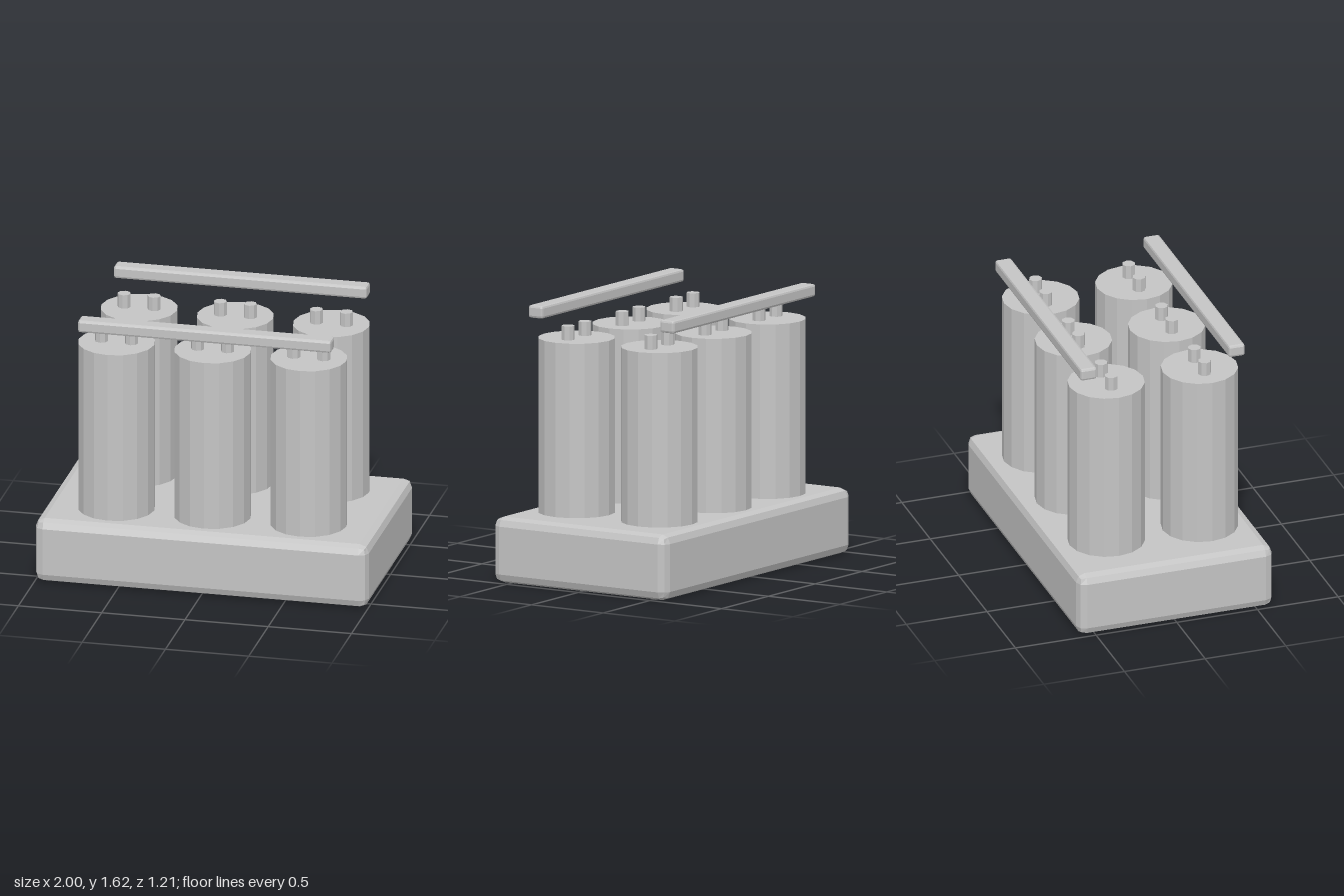
import * as THREE from 'three';

// Box with a two-step bevel of radius r along all edges and corners
function bevelBox(w, h, d, r) {
  const geo = new THREE.BoxGeometry(1, 1, 1, 3, 3, 3);
  const pos = geo.attributes.position;
  const half = new THREE.Vector3(w / 2 - r, h / 2 - r, d / 2 - r);
  const p = new THREE.Vector3();
  const step = (v) => (Math.abs(v) > 0.4 ? Math.sign(v) : 0);
  for (let i = 0; i < pos.count; i++) {
    p.fromBufferAttribute(pos, i);
    const core = new THREE.Vector3(Math.sign(p.x), Math.sign(p.y), Math.sign(p.z)).multiply(half);
    const dir = new THREE.Vector3(step(p.x), step(p.y), step(p.z)).normalize();
    core.addScaledVector(dir, r);
    pos.setXYZ(i, core.x, core.y, core.z);
  }
  geo.computeVertexNormals();
  return geo;
}

export function createModel() {
  const model = new THREE.Group();
  model.name = 'cylinderBank';
  const grey = new THREE.MeshStandardMaterial({ color: 0xc4c4c4, flatShading: true });
  grey.name = 'plain grey';

  const add = (parent, name, geo, x, y, z) => {
    const mesh = new THREE.Mesh(geo, grey);
    mesh.name = name;
    mesh.position.set(x, y, z);
    parent.add(mesh);
  };

  // Base block
  add(model, 'base', bevelBox(2, 0.39, 1.212, 0.053), 0, 0.195, 0);

  // Two rows of three cylinders, each with a pair of terminals on top
  const bodyGeo = new THREE.CylinderGeometry(0.227, 0.227, 1.045, 16);
  const terminalGeo = new THREE.CylinderGeometry(0.039, 0.039, 0.09, 8);
  for (const z of [-0.289, 0.289]) {
    for (const x of [-0.577, 0, 0.577]) {
      const cell = new THREE.Group();
      cell.name = 'cell';
      cell.position.set(x, 0, z);
      add(cell, 'cellBody', bodyGeo, 0, 0.9025, 0);
      for (const side of [-1, 1]) add(cell, 'terminal', terminalGeo, side * 0.09, 1.463, 0);
      model.add(cell);
    }
  }

  // Floating bars over the front and back rows
  const barGeo = bevelBox(1.52, 0.075, 0.1, 0.014);
  add(model, 'frontBar', barGeo, 0, 1.584, 0.459);
  add(model, 'backBar', barGeo, 0, 1.584, -0.459);

  return model;
}
